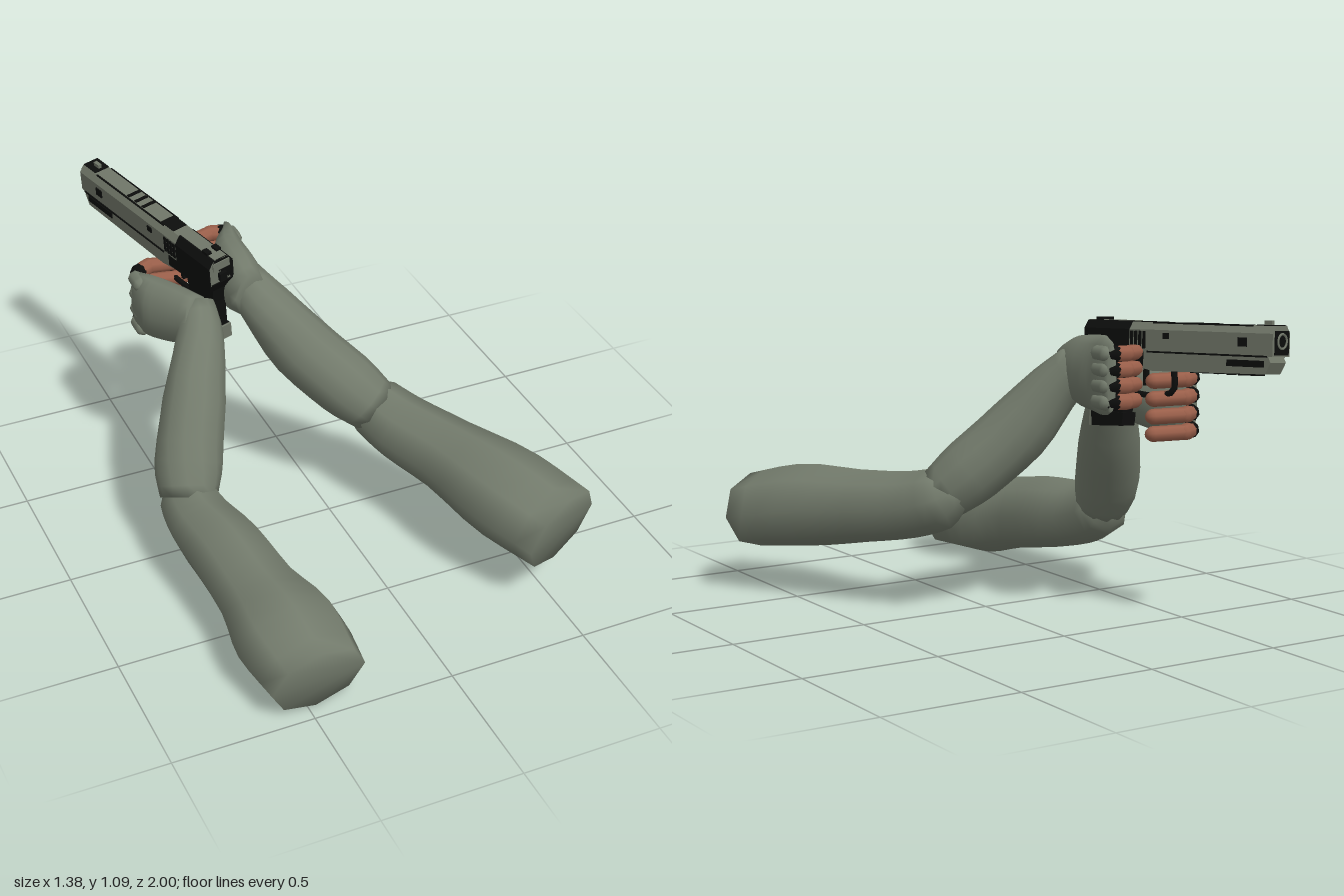
import * as THREE from 'three';

const mat = (name, color) => {
  const m = new THREE.MeshStandardMaterial({ color });
  m.name = name;
  return m;
};
const V = (x, y, z) => new THREE.Vector3(x, y, z);

// Smooth closed tube through sections [x, y, z, sideRadius, upRadius]
function loft(sections, sides = 12, sub = 3) {
  const centre = new THREE.CatmullRomCurve3(sections.map(s => V(s[0], s[1], s[2])));
  const radius = new THREE.CatmullRomCurve3(sections.map(s => V(s[3], s[4] ?? s[3], 0)));
  const rows = (sections.length - 1) * sub;
  const pos = [], idx = [];
  for (let i = 0; i <= rows; i++) {
    const c = centre.getPoint(i / rows), r = radius.getPoint(i / rows), t = centre.getTangent(i / rows);
    const side = V(0, 1, 0).cross(t).normalize(), up = t.clone().cross(side);
    for (let j = 0; j < sides; j++) {
      const a = j / sides * Math.PI * 2;
      const p = c.clone().addScaledVector(side, Math.cos(a) * r.x).addScaledVector(up, Math.sin(a) * r.y);
      pos.push(p.x, p.y, p.z);
    }
  }
  for (let i = 0; i < rows; i++) for (let j = 0; j < sides; j++) {
    const k = (j + 1) % sides, a = i * sides + j, b = i * sides + k;
    idx.push(a, b, a + sides, b, b + sides, a + sides);
  }
  for (let j = 1; j < sides - 1; j++) { // softly shaded end caps
    const e = rows * sides;
    idx.push(0, j + 1, j, e, e + j, e + j + 1);
  }
  const g = new THREE.BufferGeometry();
  g.setAttribute('position', new THREE.Float32BufferAttribute(pos, 3));
  g.setIndex(idx);
  g.computeVertexNormals();
  return g;
}

// Capsule running from a to b
function capsule(a, b, r) {
  const d = b.clone().sub(a), g = new THREE.CapsuleGeometry(r, d.length(), 4, 8);
  g.applyQuaternion(new THREE.Quaternion().setFromUnitVectors(V(0, 1, 0), d.normalize()));
  return g.translate(...a.clone().add(b).multiplyScalar(0.5).toArray());
}

// Extruded outline; rotated so a profile drawn as (forward, y) runs along -z
function profile(points, width) {
  const g = new THREE.ExtrudeGeometry(new THREE.Shape(points.map(p => new THREE.Vector2(...p))),
    { depth: width, bevelEnabled: false });
  return g.translate(0, 0, -width / 2).rotateY(Math.PI / 2);
}

// Slide cross-section with chamfered top, grown outward by e and run from z = 0 to -length
function slideBlock(length, e) {
  const w = 0.048 + e, shape = new THREE.Shape([[-w, -0.1 - e], [w, -0.1 - e], [w, -0.025], [0.03, e], [-0.03, e], [-w, -0.025]]
    .map(p => new THREE.Vector2(...p)));
  return new THREE.ExtrudeGeometry(shape, { depth: length, bevelEnabled: false }).translate(0, 0, -length);
}

export function createModel() {
  const sleeve = mat('sleeve grey green', 0x737b6c);
  const metal = mat('gunmetal grey green', 0x6f7567);
  const black = mat('matte black', 0x0c0d0c);
  const skin = mat('skin', 0x9a5f4a);
  const model = new THREE.Group();
  model.name = 'armsWithPistol';
  const add = (parent, name, geo, material) => {
    const m = new THREE.Mesh(geo, material);
    m.name = name;
    parent.add(m);
    return m;
  };

  // Arms: forearm, upper arm and gloved hand for each side
  const arms = {
    left: {
      forearm: [[-0.21, 0.89, -0.28, 0.07, 0.08], [-0.15, 0.8, -0.205, 0.095, 0.095], [-0.05, 0.65, -0.125, 0.113, 0.12],
        [0.08, 0.51, -0.04, 0.12, 0.12], [0.17, 0.42, 0.02, 0.1, 0.1]],
      upper: [[0.14, 0.45, -0.07, 0.05], [0.18, 0.41, 0.005, 0.11], [0.235, 0.375, 0.12, 0.125, 0.12],
        [0.325, 0.35, 0.3, 0.137, 0.132], [0.435, 0.32, 0.57, 0.185, 0.152], [0.53, 0.28, 0.765, 0.182, 0.138]],
      hand: [[-0.21, 0.86, -0.2, 0.06, 0.09], [-0.215, 0.87, -0.3, 0.08, 0.125], [-0.21, 0.87, -0.4, 0.07, 0.135],
        [-0.185, 0.87, -0.47, 0.038, 0.135], [-0.175, 0.87, -0.52, 0.016, 0.115]],
      // knuckle, first joint, second joint and tip as [x, z]
      joints: [[-0.17, -0.49], [-0.2, -0.507], [-0.235, -0.517], [-0.285, -0.5]],
      fingerY: [0.95, 0.895, 0.84, 0.785],
    },
    right: {
      forearm: [[-0.385, 0.83, -0.28, 0.065, 0.07], [-0.405, 0.75, -0.2, 0.083, 0.085], [-0.48, 0.57, -0.08, 0.112, 0.115],
        [-0.55, 0.4, 0.03, 0.12, 0.115], [-0.58, 0.3, 0.1, 0.1, 0.1]],
      upper: [[-0.565, 0.32, 0.03, 0.05], [-0.575, 0.285, 0.09, 0.105], [-0.57, 0.25, 0.2, 0.12],
        [-0.537, 0.225, 0.37, 0.137], [-0.512, 0.19, 0.58, 0.15, 0.14], [-0.487, 0.16, 0.77, 0.195, 0.158],
        [-0.47, 0.125, 0.965, 0.172, 0.13]],
      hand: [[-0.4, 0.8, -0.22, 0.065, 0.09], [-0.44, 0.78, -0.31, 0.074, 0.11], [-0.483, 0.765, -0.4, 0.077, 0.12],
        [-0.52, 0.76, -0.47, 0.042, 0.12], [-0.53, 0.76, -0.51, 0.018, 0.105]],
      joints: [[-0.53, -0.49], [-0.505, -0.53], [-0.46, -0.553], [-0.34, -0.53]],
      fingerY: [0.85, 0.788, 0.727, 0.667],
    },
  };
  for (const [side, a] of Object.entries(arms)) {
    const arm = new THREE.Group();
    arm.name = side + 'Arm';
    model.add(arm);
    add(arm, 'forearm', loft(a.forearm), sleeve);
    add(arm, 'upperArm', loft(a.upper, 8), sleeve);
    add(arm, 'hand', loft(a.hand, 14), sleeve);
    for (const y of a.fingerY) {
      const [k, bend, mid, tip] = a.joints.map(([x, z]) => V(x, y, z));
      add(arm, 'gloveKnuckle', capsule(V(k.x, y, k.z + 0.04), k, 0.029), sleeve);
      add(arm, 'gloveBand', capsule(k.clone().lerp(bend, 0.35), bend, 0.029), black);
      add(arm, 'fingerMiddle', capsule(bend.clone().lerp(mid, 0.35), mid, 0.029), skin);
      add(arm, 'fingerTip', capsule(mid, tip, 0.027), skin);
    }
  }

  // Pistol: local -z points to the muzzle, origin at the slide's rear top
  const gun = new THREE.Group();
  gun.name = 'pistol';
  gun.position.set(-0.314, 1.03, -0.215);
  gun.rotation.set(0.05, 0.255, 0.085, 'YXZ');
  model.add(gun);
  const box = (name, material, w, h, d, x, y, z) =>
    add(gun, name, new THREE.BoxGeometry(w, h, d).translate(x, y, z), material);

  add(gun, 'slide', slideBlock(0.8, 0), metal);
  add(gun, 'rearCover', slideBlock(0.2, 0.003), black);
  box('rearTopPlate', metal, 0.05, 0.006, 0.2, 0, 0.002, -0.1);
  box('rearUpperPlate', metal, 0.07, 0.03, 0.006, 0, -0.026, 0.001);
  add(gun, 'frame', profile([[0.22, -0.1], [0.78, -0.1], [0.79, -0.12], [0.77, -0.158], [0.3, -0.165], [0.22, -0.15]], 0.086), metal);
  add(gun, 'rearFrame', profile([[-0.005, -0.095], [0.26, -0.095], [0.26, -0.15], [0.02, -0.14]], 0.09), black);
  add(gun, 'grip', profile([[0.02, -0.12], [0.18, -0.14], [0.16, -0.33], [0.03, -0.33], [0.03, -0.2]], 0.055), black);
  add(gun, 'magazineBase', profile([[0.025, -0.31], [0.17, -0.315], [0.165, -0.36], [0.03, -0.365]], 0.07), black);
  box('magazineRear', metal, 0.07, 0.055, 0.008, 0, -0.337, -0.022);

  // Trigger guard and trigger
  const guard = new THREE.CatmullRomCurve3([V(0, -0.15, -0.36), V(0, -0.23, -0.36), V(0, -0.25, -0.27), V(0, -0.24, -0.16)]);
  add(gun, 'triggerGuard', new THREE.TubeGeometry(guard, 12, 0.011, 6), black);
  box('trigger', black, 0.015, 0.065, 0.015, 0, -0.185, -0.24);

  // Slide details on both sides
  for (const s of [-1, 1]) {
    const x = s * 0.0495;
    for (let i = 0; i < 4; i++) box('serration', black, 0.005, 0.06, 0.011, x, -0.06, -0.212 - i * 0.018);
    box('slideSeam', black, 0.004, 0.006, 0.5, x, -0.1, -0.53);
    box('lowerRail', black, 0.006, 0.022, 0.15, s * 0.044, -0.125, -0.69);
    box('sideVent', black, 0.005, 0.03, 0.035, x, -0.055, -0.68);
    box('sideMark', black, 0.005, 0.02, 0.025, x, -0.045, -0.36);
    box('topEdgeLine', black, 0.005, 0.005, 0.42, s * 0.031, -0.001, -0.5);
    box('rearSight', black, 0.02, 0.016, 0.03, s * 0.02, 0.006, -0.05);
  }
  for (let i = 0; i < 6; i++) box('railSlot', black, 0.06, 0.007, 0.016, 0, -0.162, -0.46 - i * 0.05);

  // Top, muzzle and rear details
  box('ejectionPort', black, 0.058, 0.006, 0.075, 0, 0, -0.275);
  for (let i = 0; i < 3; i++) box('topSlot', black, 0.052, 0.006, 0.014, 0, 0, -0.43 - i * 0.045);
  box('frontTopPlate', black, 0.06, 0.006, 0.075, 0, 0, -0.76);
  box('frontSight', metal, 0.014, 0.018, 0.03, 0, 0.008, -0.75);
  box('hammer', black, 0.03, 0.03, 0.016, 0, -0.07, 0.006);
  box('muzzlePlate', black, 0.075, 0.08, 0.006, 0, -0.055, -0.801);
  add(gun, 'barrel', new THREE.TorusGeometry(0.024, 0.005, 6, 14).translate(0, -0.05, -0.803), metal);

  return model;
}
